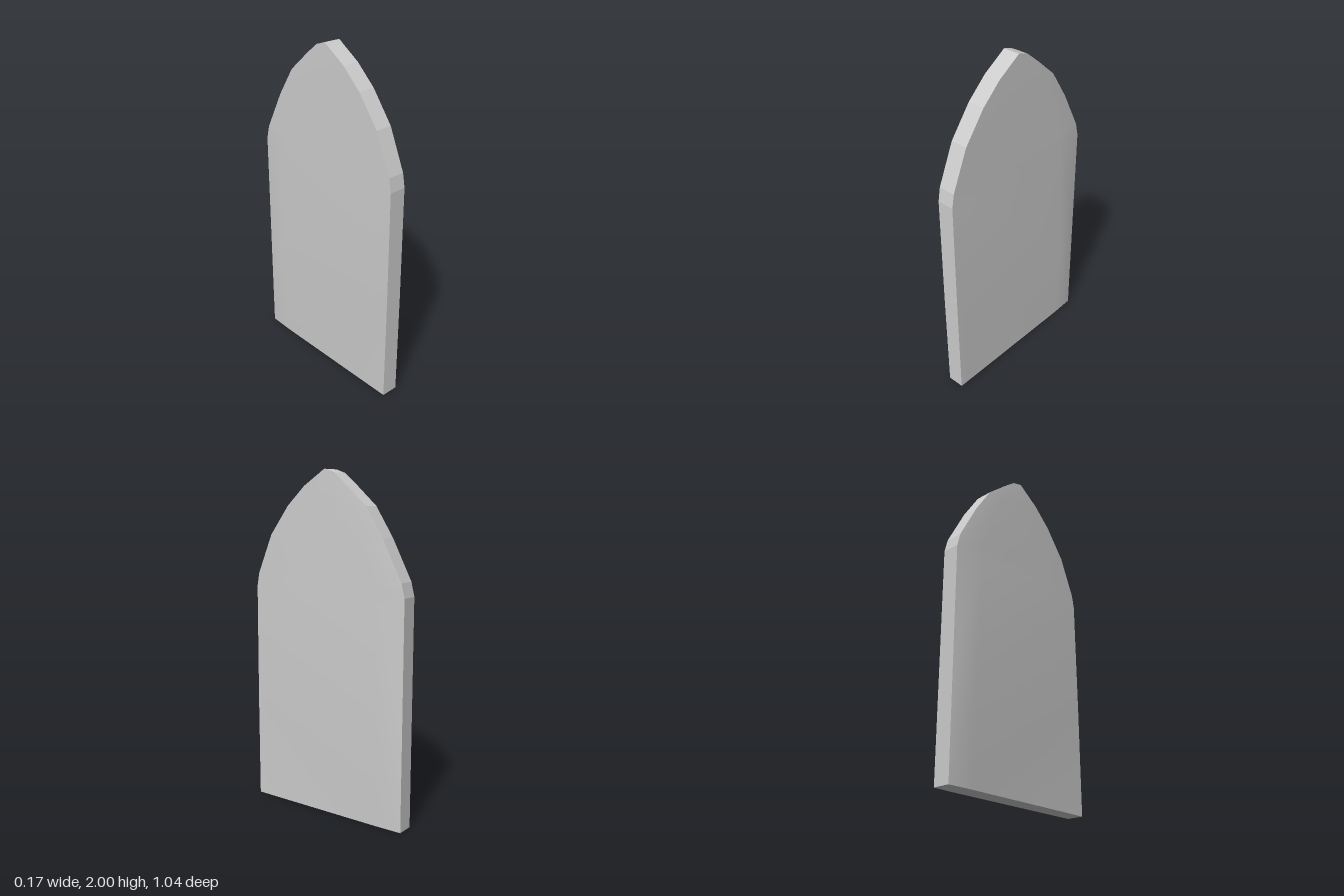
import * as THREE from 'three';

// Cross-sections from base to tip: [y, front z, back z, ridge z, half thickness at ridge]
const sections = [
  [0, 0.52, -0.52, -0.37, 0.055],
  [0.62, 0.52, -0.52, -0.37, 0.083],
  [1.32, 0.515, -0.52, -0.35, 0.068],
  [1.4, 0.5, -0.5, -0.33, 0.066],
  [1.63, 0.4, -0.38, -0.25, 0.061],
  [1.8, 0.27, -0.27, -0.17, 0.057],
  [1.91, 0.15, -0.145, -0.08, 0.054],
  [1.98, 0.04, -0.06, -0.02, 0.051],
  [2, 0.01, 0.0, 0.005, 0.05],
];
const RIM = 0.051;

// Skins a list of equally long point rows with quads
function loft(rows, flip) {
  const n = rows[0].length;
  const index = [];
  for (let i = 0; i < rows.length - 1; i++) {
    for (let j = 0; j < n - 1; j++) {
      const a = i * n + j, b = a + 1, c = a + n, d = c + 1;
      if (flip) index.push(a, c, b, b, c, d);
      else index.push(a, b, c, b, d, c);
    }
  }
  const g = new THREE.BufferGeometry();
  g.setAttribute('position', new THREE.Float32BufferAttribute(rows.flat(2), 3));
  g.setIndex(index);
  g.computeVertexNormals();
  return g;
}

export function createModel() {
  const group = new THREE.Group();
  const smooth = new THREE.MeshStandardMaterial({ color: 0xcccccc });
  const flat = new THREE.MeshStandardMaterial({ color: 0xcccccc, flatShading: true });
  const add = (name, geometry, material) => {
    const mesh = new THREE.Mesh(geometry, material);
    mesh.name = name;
    group.add(mesh);
  };

  // Two gently bulging faces, thickest along a ridge near the back
  for (const side of [1, -1]) {
    const rows = sections.map(([y, front, back, ridge, half]) => [
      [side * RIM, y, front], [side * half, y, ridge], [side * RIM, y, back],
    ]);
    add(side > 0 ? 'leftFace' : 'rightFace', loft(rows, side < 0), smooth);
  }

  // Narrow rim running up the front, over the tip and down the back
  const outline = [
    ...sections.map(([y, front]) => [y, front]),
    ...sections.map(([y, , back]) => [y, back]).reverse(),
  ];
  add('rim', loft(outline.map(([y, z]) => [[-RIM, y, z], [RIM, y, z]]), false), flat);

  // Flat underside
  const [, front, back, ridge, half] = sections[0];
  const base = [[front, RIM], [ridge, half], [back, RIM]].map(([z, x]) => [[-x, 0, z], [x, 0, z]]);
  add('base', loft(base, true), flat);

  return group;
}
